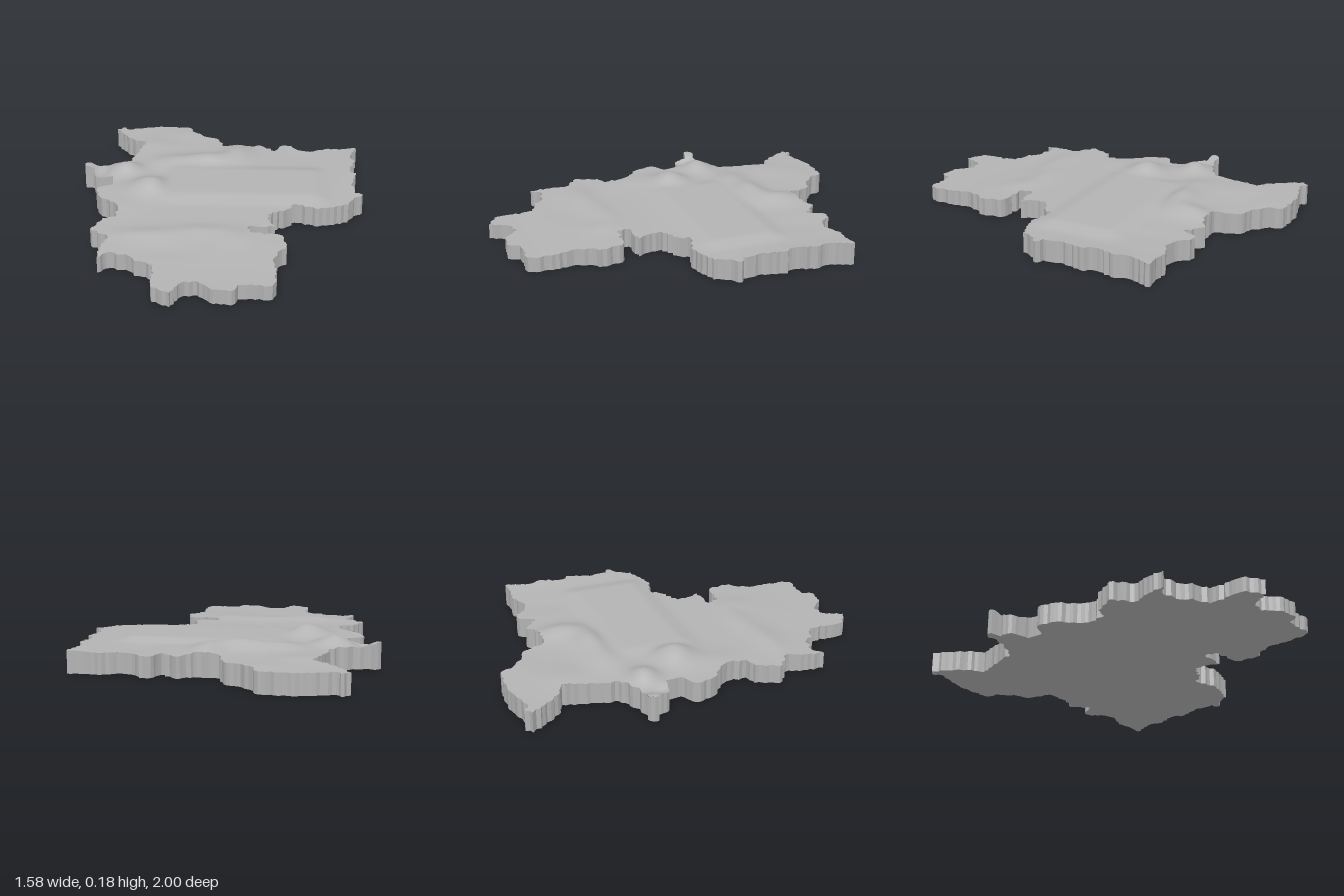
import * as THREE from 'three';

// Main corners of the region's border as x, z pairs, clockwise from the north-west
const BORDER = [
  -.67, -.95, -.64, -.98, -.60, -.95, -.39, -1, -.23, -.99, -.19, -.91, -.13, -.85, -.04, -.81, 0, -.69, .13, -.68,
  .21, -.73, .30, -.65, .34, -.73, .40, -.73, .43, -.68, .51, -.65, .60, -.69, .69, -.68, .78, -.69,
  .74, -.56, .76, -.47, .73, -.38, .76, -.30, .73, -.17, .74, -.08, .785, -.06, .73, 0, .70, .06, .54, .11, .41, .07,
  .36, .13, .26, .18, .27, .25, .30, .32, .16, .33, .17, .39, .34, .42, .36, .55, .32, .58, .29, .67, .31, .79, .29, .91,
  .12, .91, .09, .97, 0, .96, -.08, .88, -.16, .90, -.21, 1, -.30, .95, -.31, .73, -.41, .70, -.44, .65, -.54, .62,
  -.60, .67, -.59, .56, -.57, .46, -.67, .38, -.62, .26, -.55, .24, -.55, .13, -.67, 0, -.69, -.10, -.61, -.15,
  -.62, -.24, -.72, -.26, -.73, -.33, -.79, -.34, -.78, -.38, -.65, -.39, -.54, -.46, -.49, -.66, -.47, -.74,
  -.54, -.77, -.63, -.89,
];

// Hills and hollows: x, z, radius along x, radius along z, height
const HILLS = [
  [-.39, -.10, .12, .11, .066], [-.55, -.33, .09, .08, .055], [-.78, -.36, .06, .07, .03],
  [-.69, -.30, .04, .06, -.02], [-.08, -.47, .14, .09, .05], [.08, -.58, .09, .13, .04],
  [-.30, -.45, .13, .10, .028], [-.40, -.70, .13, .12, .014], [-.25, -.88, .14, .08, .006],
  [.78, -.45, .10, .35, .014], [.45, -.55, .08, .12, -.006], [-.36, .44, .17, .07, .018],
  [-.08, .39, .17, .07, .016], [.10, .46, .09, .09, .012], [-.25, .60, .15, .07, -.006],
  [-.50, .10, .10, .12, .010],
];

const smooth = THREE.MathUtils.smoothstep;

function heightAt(x, z) {
  let y = .112 - .012 * smooth(z, -.2, .5) - .02 * smooth(z, .4, .9);
  for (const [cx, cz, rx, rz, h] of HILLS) {
    y += h * Math.exp(-(((x - cx) / rx) ** 2) - ((z - cz) / rz) ** 2);
  }
  // Level basin in the middle
  const basin = smooth(x, -.36, -.24) * (1 - smooth(x, .5, .63)) * smooth(z, -.44, -.32) * (1 - smooth(z, -.03, .11));
  return THREE.MathUtils.lerp(y, .134, basin);
}

// Border with small seeded ripples between the main corners
function makeOutline() {
  let seed = 7;
  const random = () => (seed = (seed * 16807) % 2147483647) / 2147483647;
  const points = [];
  for (let i = 0; i < BORDER.length; i += 2) {
    const a = new THREE.Vector2(BORDER[i], BORDER[i + 1]);
    const j = (i + 2) % BORDER.length;
    const b = new THREE.Vector2(BORDER[j], BORDER[j + 1]);
    const length = a.distanceTo(b);
    const steps = Math.max(1, Math.round(length / .02));
    for (let k = 0; k < steps; k++) {
      const p = a.clone().lerp(b, k / steps);
      const shift = k ? (random() - .5) * .02 : 0;
      p.x += (b.y - a.y) / length * shift;
      p.y -= (b.x - a.x) / length * shift;
      points.push(p);
    }
  }
  return points;
}

// Keep the part of a polygon on one side of an axis line
function clip(polygon, axis, limit, sign) {
  const result = [];
  polygon.forEach((a, i) => {
    const b = polygon[(i + 1) % polygon.length];
    const da = (a[axis] - limit) * sign, db = (b[axis] - limit) * sign;
    if (da >= 0) result.push(a);
    if ((da > 0 && db < 0) || (da < 0 && db > 0)) result.push(a.clone().lerp(b, da / (da - db)));
  });
  return result;
}

// Triangles of a flat polygon, all facing up (1) or down (-1)
function fill(polygon, facing, emit) {
  for (const [i, j, k] of THREE.ShapeUtils.triangulateShape(polygon.slice(), [])) {
    const a = polygon[i], b = polygon[j], c = polygon[k];
    const area = (b.y - a.y) * (c.x - a.x) - (b.x - a.x) * (c.y - a.y);
    if (Math.abs(area) < 1e-9) continue;
    (area * facing > 0 ? [a, b, c] : [a, c, b]).forEach(emit);
  }
}

function toGeometry(positions, normals) {
  const geometry = new THREE.BufferGeometry();
  geometry.setAttribute('position', new THREE.Float32BufferAttribute(positions, 3));
  if (normals) geometry.setAttribute('normal', new THREE.Float32BufferAttribute(normals, 3));
  else geometry.computeVertexNormals();
  return geometry;
}

// Rolling top, cut into grid cells along the border
function landGeometry(outline) {
  const positions = [], normals = [], step = .025, e = .004, n = new THREE.Vector3();
  const emit = ({ x, y: z }) => {
    positions.push(x, heightAt(x, z), z);
    n.set(heightAt(x - e, z) - heightAt(x + e, z), 2 * e, heightAt(x, z - e) - heightAt(x, z + e)).normalize();
    normals.push(n.x, n.y, n.z);
  };
  for (let row = -41; row < 41; row++) {
    const strip = clip(clip(outline, 'y', row * step, 1), 'y', (row + 1) * step, -1);
    if (strip.length < 3) continue;
    for (let col = -33; col < 33; col++) {
      const cell = clip(clip(strip, 'x', col * step, 1), 'x', (col + 1) * step, -1);
      if (cell.length > 2) fill(cell, 1, emit);
    }
  }
  return toGeometry(positions, normals);
}

// Upright faces from the ground to the edge of the land
function wallGeometry(outline) {
  const positions = [];
  outline.forEach((a, i) => {
    const b = outline[(i + 1) % outline.length];
    const ha = heightAt(a.x, a.y), hb = heightAt(b.x, b.y);
    positions.push(a.x, 0, a.y, a.x, ha, a.y, b.x, 0, b.y);
    positions.push(b.x, 0, b.y, a.x, ha, a.y, b.x, hb, b.y);
  });
  return toGeometry(positions);
}

function baseGeometry(outline) {
  const positions = [];
  fill(outline, -1, (p) => positions.push(p.x, 0, p.y));
  return toGeometry(positions);
}

export function createModel() {
  const stone = new THREE.MeshStandardMaterial({ color: 0xb3b3b3 });
  stone.name = 'grey stone';
  const outline = makeOutline();
  const model = new THREE.Group();
  model.name = 'reliefMap';
  const parts = { land: landGeometry(outline), borderWall: wallGeometry(outline), base: baseGeometry(outline) };
  for (const [name, geometry] of Object.entries(parts)) {
    const mesh = new THREE.Mesh(geometry, stone);
    mesh.name = name;
    model.add(mesh);
  }
  return model;
}
